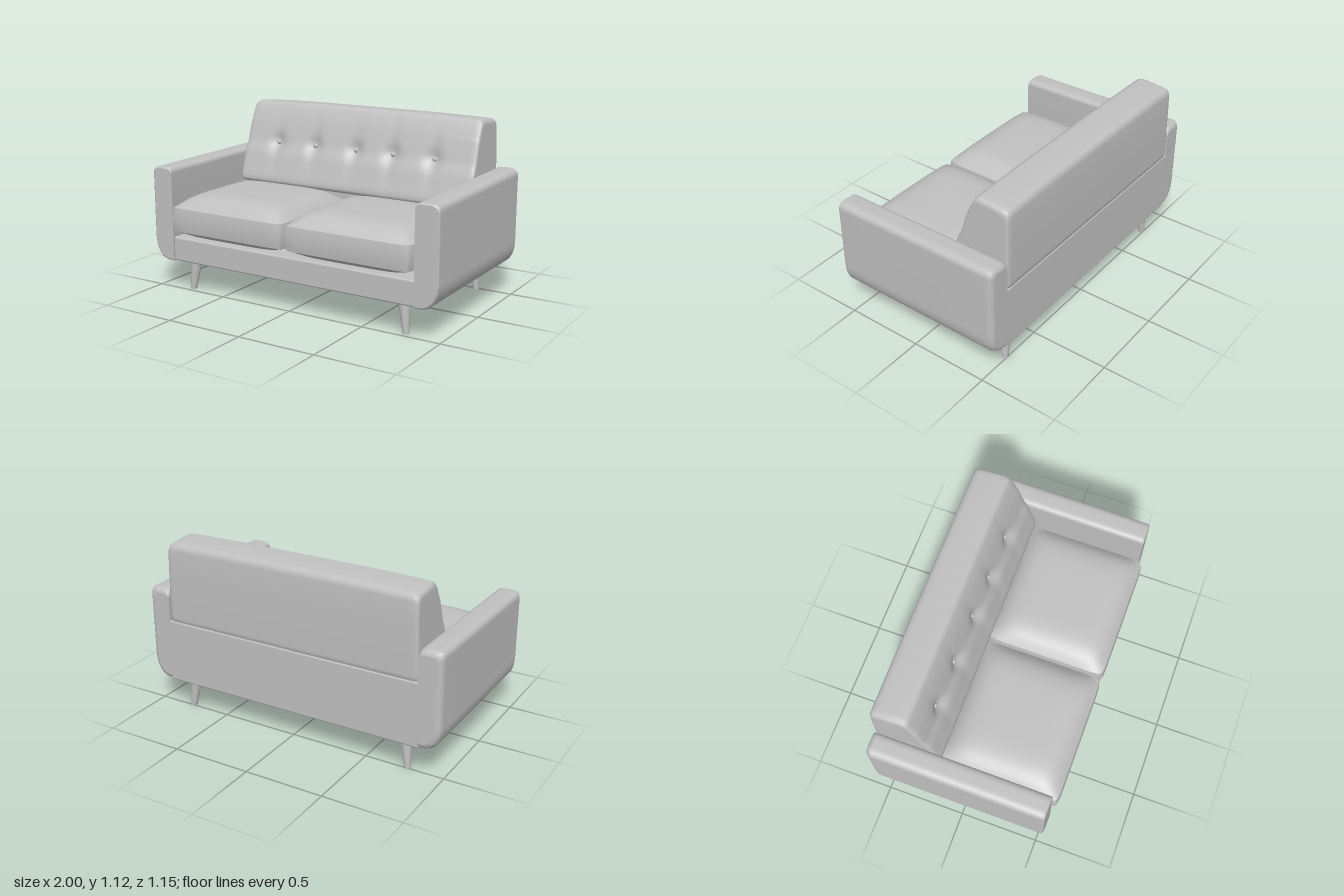
import * as THREE from 'three';
import { RoundedBoxGeometry } from 'three/addons/geometries/RoundedBoxGeometry.js';

const fabric = new THREE.MeshStandardMaterial({ color: 0xc0c0c0 });
fabric.name = 'grey fabric';

const BUTTON_X = [-0.6, -0.31, 0, 0.27, 0.56];
const BUTTON_Y = 0.855;

// Skin a list of closed rings (arrays of Vector3), closing both ends with flat caps.
function loft(rings) {
  const centre = ring => {
    const c = ring.reduce((s, p) => s.add(p), new THREE.Vector3()).divideScalar(ring.length);
    return ring.map(() => c);
  };
  const first = rings[0], last = rings[rings.length - 1];
  const all = [centre(first), first, ...rings, last, centre(last)];
  const n = first.length, pos = [], index = [];
  all.forEach(ring => ring.forEach(p => pos.push(p.x, p.y, p.z)));
  for (let i = 0; i < all.length - 1; i++) {
    for (let j = 0; j < n; j++) {
      const a = i * n + j, b = i * n + (j + 1) % n;
      index.push(a, b, b + n, a, b + n, a + n);
    }
  }
  const geo = new THREE.BufferGeometry();
  geo.setAttribute('position', new THREE.Float32BufferAttribute(pos, 3));
  geo.setIndex(index);
  geo.computeVertexNormals();
  return geo;
}

// Arm: rounded front outline swept along z, softened at front and back.
function armGeometry(side) {
  const s = new THREE.Shape();
  s.moveTo(0.852, 0.187);
  s.lineTo(0.89, 0.187);
  s.bezierCurveTo(0.96, 0.19, 1.0, 0.25, 1.0, 0.34);
  s.lineTo(1.0, 0.755);
  s.quadraticCurveTo(1.0, 0.8, 0.945, 0.8);
  s.lineTo(0.9, 0.8);
  s.quadraticCurveTo(0.852, 0.8, 0.852, 0.765);
  s.closePath();
  const outline = s.getPoints(10).slice(0, -1);
  if (side < 0) outline.reverse();
  const stations = [
    [-0.572, 0.035], [-0.568, 0.02], [-0.558, 0.009], [-0.535, 0],
    [-0.2, 0], [0.2, 0], [0.525, 0], [0.535, 0.003], [0.54, 0.01]
  ];
  return loft(stations.map(([z, inset]) => outline.map(p => {
    const x = 0.852 + (p.x - 0.852) * (1 - inset / 0.148);
    let y = 0.49 + (p.y - 0.49) * (1 - inset / 0.31);
    if (p.y > 0.7) y -= 0.012 * (z + 0.57) / 1.1;
    return new THREE.Vector3(x * side, y, z);
  })));
}

// Backrest: side profile swept along x, with dimples pulled in at the buttons.
function tuft(x, y) {
  const dy = y - BUTTON_Y;
  return BUTTON_X.reduce((d, bx) => {
    const dx = x - bx;
    return d + 0.022 * Math.exp(-(dx * dx + dy * dy) / 0.003)
      + 0.01 * Math.exp(-dx * dx / 0.0015 - dy * dy / 0.025);
  }, 0);
}

function backrestGeometry() {
  const front = new THREE.CatmullRomCurve3([
    [-0.375, 1.12], [-0.345, 1.108], [-0.325, 1.075], [-0.3, 1.02], [-0.27, 0.93],
    [-0.245, 0.85], [-0.218, 0.79], [-0.19, 0.7], [-0.167, 0.62], [-0.168, 0.595]
  ].map(([z, y]) => new THREE.Vector3(0, y, z))).getSpacedPoints(36);
  const rear = [
    [-0.19, 0.585], [-0.37, 0.585], [-0.555, 0.585], [-0.568, 0.595], [-0.57, 0.62], [-0.572, 0.8],
    [-0.572, 0.95], [-0.57, 1.06], [-0.564, 1.085], [-0.55, 1.1], [-0.525, 1.106], [-0.45, 1.114]
  ].map(([z, y]) => new THREE.Vector3(0, y, z));
  const xs = [[-0.85, 0.025], [-0.847, 0.014], [-0.84, 0.006], [-0.825, 0]];
  for (let i = 1; i < 72; i++) xs.push([-0.825 + 1.65 * i / 72, 0]);
  xs.push([0.825, 0], [0.84, 0.006], [0.847, 0.014], [0.85, 0.025]);
  return loft(xs.map(([x, inset]) => [...rear, ...front].map((p, j) => {
    const k = 1 - inset / 0.25;
    let y = 0.82 + (p.y - 0.82) * k;
    let z = -0.4 + (p.z + 0.4) * k;
    if (j >= rear.length) z -= tuft(x, p.y);
    if (p.y > 1) y -= 0.01 * Math.pow(Math.abs(x) / 0.85, 4);
    return new THREE.Vector3(x * (1 - 0.012 * (p.y - 0.6) / 0.5), y, z);
  })));
}

// Seat cushion: box with puffed top and bottom and a slim boxing band.
function cushionGeometry() {
  const geo = new THREE.BoxGeometry(2, 2, 2, 28, 6, 28);
  const p = geo.attributes.position;
  for (let i = 0; i < p.count; i++) {
    const u = p.getX(i), v = p.getY(i), w = p.getZ(i);
    const puff = (1 - Math.pow(Math.abs(u), 6)) * (1 - Math.pow(Math.abs(w), 6));
    const half = Math.abs(v) === 1 ? 0.075 + (v > 0 ? 0.085 : 0.055) * puff : 0.075 * Math.abs(v);
    const bulge = 0.006 * (1 - v * v);
    const x = u * (0.413 + bulge - 0.014 * Math.pow(Math.abs(w), 14));
    const z = w * (0.378 + bulge - 0.01 * Math.pow(Math.abs(u), 14));
    p.setXYZ(i, x, 0.47 + Math.sign(v) * half, z + 0.19);
  }
  geo.computeVertexNormals();
  return geo;
}

// Leg: tapered peg sheared so that the foot splays outwards.
function legGeometry(sx, sz) {
  const geo = new THREE.CylinderGeometry(0.036, 0.02, 0.2, 20);
  const p = geo.attributes.position;
  for (let i = 0; i < p.count; i++) {
    const t = 0.5 - p.getY(i) / 0.2;
    p.setX(i, p.getX(i) + sx * (0.743 + 0.024 * t));
    p.setZ(i, p.getZ(i) + (sz > 0 ? 0.445 : -0.475) + sz * 0.012 * t);
    p.setY(i, p.getY(i) + 0.1);
  }
  geo.computeVertexNormals();
  return geo;
}

export function createModel() {
  const sofa = new THREE.Group();
  sofa.name = 'sofa';
  const add = (name, geo, x = 0, y = 0, z = 0) => {
    const mesh = new THREE.Mesh(geo, fabric);
    mesh.name = name;
    mesh.position.set(x, y, z);
    sofa.add(mesh);
    return mesh;
  };

  // Frame
  add('seatBase', new RoundedBoxGeometry(1.74, 0.155, 1.1, 3, 0.012), 0, 0.2665, -0.021);
  add('lowerBack', new RoundedBoxGeometry(1.74, 0.38, 0.37, 3, 0.012), 0, 0.405, -0.386);
  add('backrest', backrestGeometry());

  // Mirrored arms, cushions and legs
  for (const side of [1, -1]) {
    const label = side > 0 ? 'left' : 'right';
    add(label + 'Arm', armGeometry(side));
    add(label + 'SeatCushion', cushionGeometry(), side * 0.424);
    add(label + 'FrontLeg', legGeometry(side, 1));
    add(label + 'BackLeg', legGeometry(side, -1));
  }

  // Buttons sitting in the dimples
  for (const x of BUTTON_X) {
    const button = add('button', new THREE.SphereGeometry(0.016, 16, 10), x, BUTTON_Y, -0.274);
    button.scale.z = 0.7;
  }
  return sofa;
}
